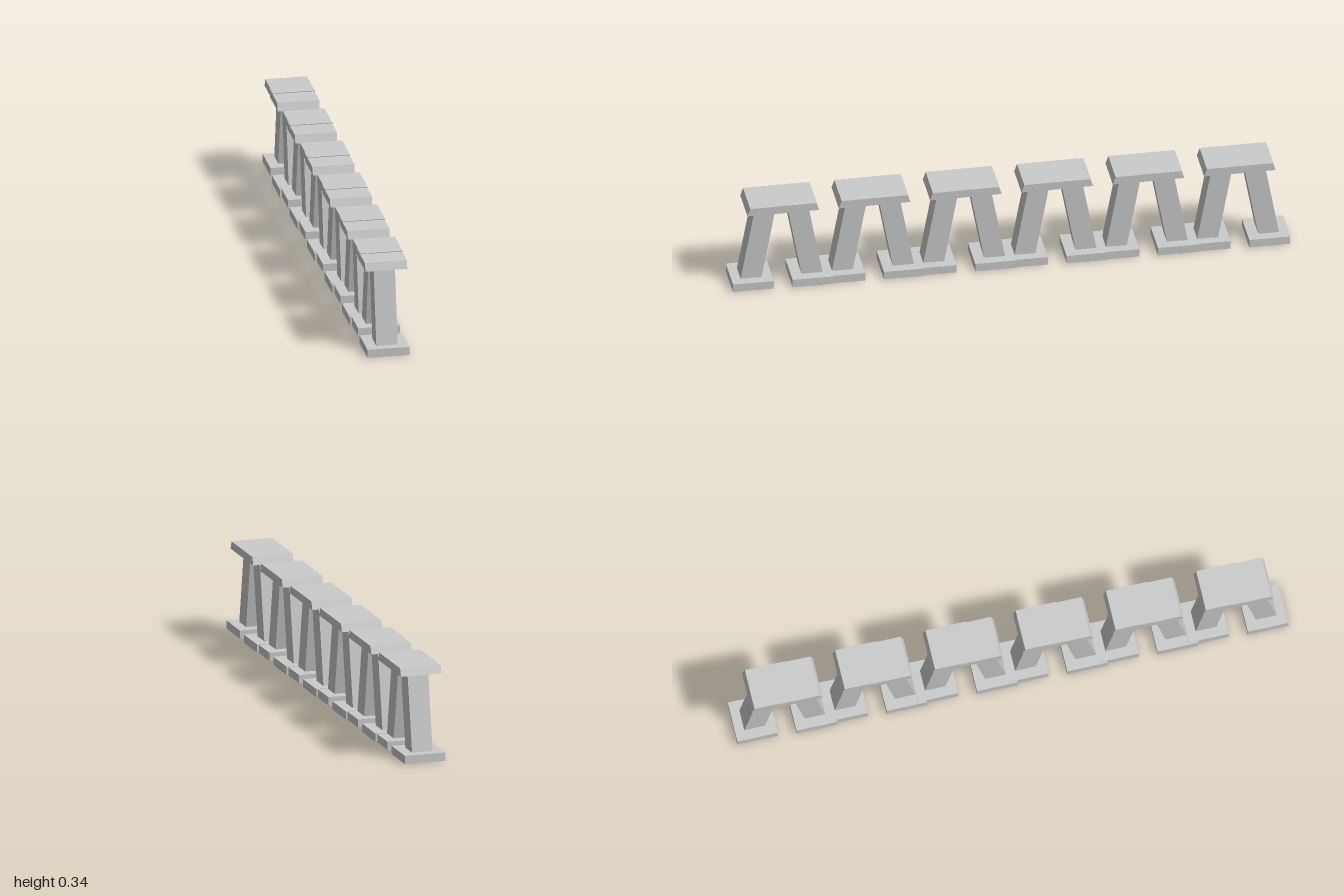
import * as THREE from 'three';

const material = new THREE.MeshStandardMaterial({ color: 0xcccccc, flatShading: true });

// Box leaning along z: centred on zBottom at its foot and zTop at its head
function leaningBox(name, width, depth, y0, y1, zBottom, zTop) {
  const geometry = new THREE.BoxGeometry(width, y1 - y0, depth);
  const p = geometry.attributes.position;
  for (let i = 0; i < p.count; i++) {
    p.setZ(i, p.getZ(i) + (p.getY(i) < 0 ? zBottom : zTop));
  }
  geometry.translate(0, (y0 + y1) / 2, 0);
  geometry.computeVertexNormals();
  const mesh = new THREE.Mesh(geometry, material);
  mesh.name = name;
  return mesh;
}

// Half of a trestle: flat foot, inclined column and a cap slanted with it
function createHalf(name) {
  const half = new THREE.Group();
  half.name = name;
  const foot = leaningBox('foot', 0.151, 0.147, 0, 0.03, 0.1065, 0.1065);
  const column = leaningBox('column', 0.077, 0.075, 0.03, 0.307, 0.109, 0.058);
  const cap = leaningBox('cap', 0.151, 0.147, 0.306, 0.335, 0.055, 0.045);
  foot.position.x = -0.0035;
  column.position.x = -0.0025;
  cap.position.x = -0.001;
  half.add(foot, column, cap);
  return half;
}

export function createModel() {
  const model = new THREE.Group();
  model.name = 'trestleRow';
  const count = 6;
  const pitch = 0.328;
  for (let i = 0; i < count; i++) {
    const trestle = new THREE.Group();
    trestle.name = 'trestle' + (i + 1);
    const front = createHalf('frontHalf');
    // The back half is the same piece turned round, overlapping slightly higher
    const back = createHalf('backHalf');
    back.rotation.y = Math.PI;
    back.position.y = 0.002;
    trestle.add(front, back);
    trestle.position.z = ((count - 1) / 2 - i) * pitch;
    model.add(trestle);
  }
  return model;
}
